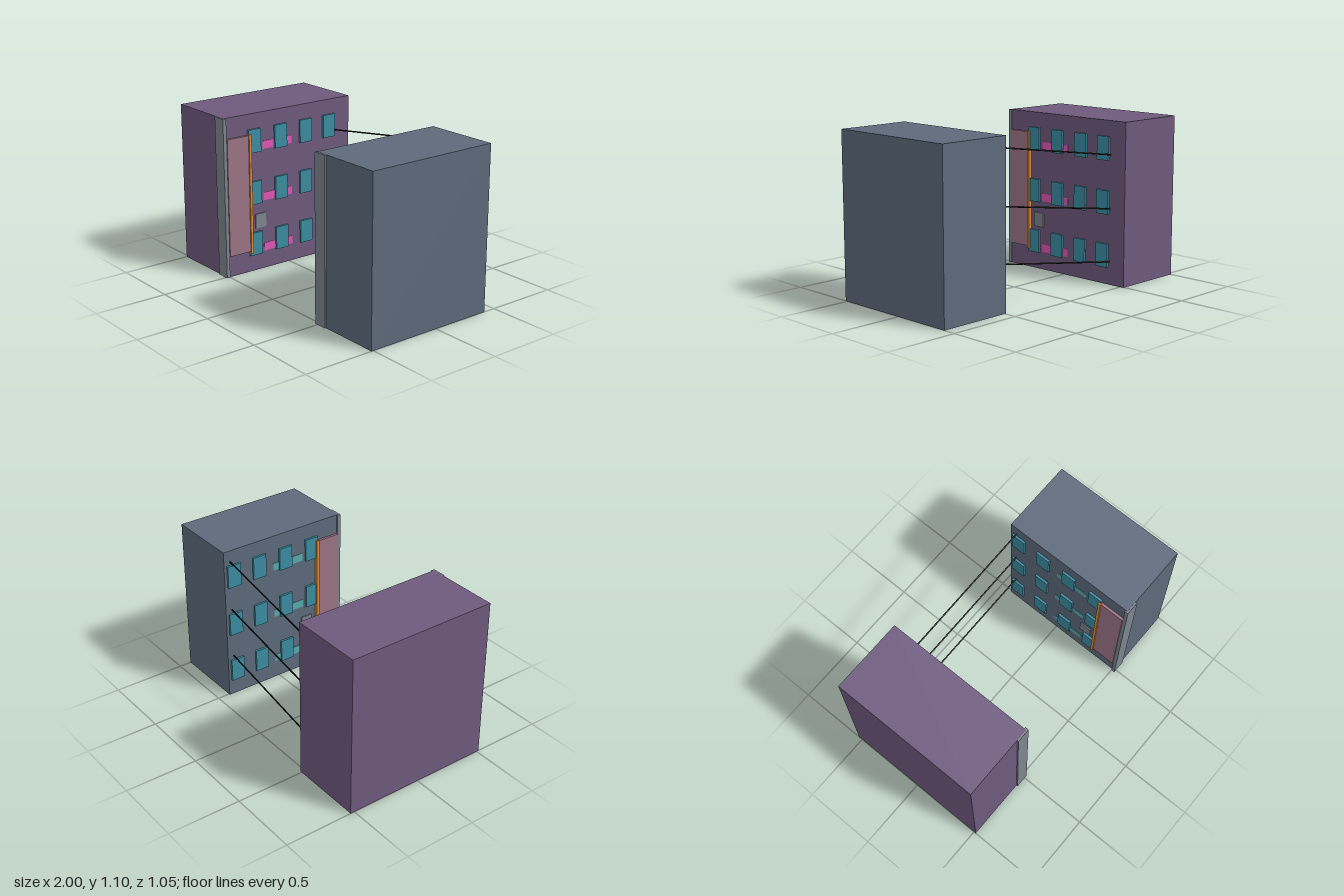
import * as THREE from 'three';

const mat = (color) => new THREE.MeshStandardMaterial({ color, flatShading: true });
const HEIGHT = 1.1, WALL = 0.49, FRONT = 0.515;
const ROWS = [0.195, 0.555, 0.915];
const WINDOW_Z = [-0.345, -0.145, 0.065, 0.28];

const mats = {
  window: mat(0x3a8ca0), panel: mat(0x9c7484), trim: mat(0xdf8a35),
  concrete: mat(0x7d858e), cable: mat(0x111116),
};

// Box given by its limits on each axis
function box(name, material, [x0, x1], [y0, y1], [z0, z1]) {
  const mesh = new THREE.Mesh(
    new THREE.BoxGeometry(Math.abs(x1 - x0), y1 - y0, z1 - z0), material);
  mesh.position.set((x0 + x1) / 2, (y0 + y1) / 2, (z0 + z1) / 2);
  mesh.name = name;
  return mesh;
}

// One building; side is -1 or +1, its detailed wall faces the alley
function building(name, side, backZ, wallColor, stripColor) {
  const g = new THREE.Group();
  g.name = name;
  const strip = mat(stripColor);
  // Part standing off the alley wall by the given depth
  const onWall = (part, material, depth, ys, zs) =>
    g.add(box(part, material, [side * (WALL + 0.01), side * (WALL - depth)], ys, zs));

  g.add(box('block', mat(wallColor), [side * WALL, side], [0, HEIGHT], [backZ, FRONT]));

  // Pilaster wrapping the front corner
  g.add(box('cornerPilaster', mats.concrete,
    [side * 0.48, side * 0.575], [0.001, HEIGHT - 0.001], [0.5, 0.525]));

  // Windows and the light strip on every floor
  for (const y of ROWS) {
    for (const z of WINDOW_Z)
      onWall('window', mats.window, 0.015, [y - 0.08, y + 0.08], [z - 0.05, z + 0.05]);
    onWall('lightStrip', strip, 0.003, [y - 0.07, y - 0.015], [-0.03, 0.21]);
  }

  // Tall panel with its trim, and a small vent
  onWall('wallPanel', mats.panel, 0.017, [0.15, 0.96], [0.33, 0.5]);
  onWall('panelTrim', mats.trim, 0.026, [0.135, 0.967], [0.314, 0.333]);
  onWall('vent', mats.concrete, 0.008, [0.3, 0.4], [0.195, 0.28]);
  return g;
}

// Cable stretched between two points
function cable(a, b) {
  const mesh = new THREE.Mesh(
    new THREE.CylinderGeometry(0.005, 0.005, a.distanceTo(b), 8), mats.cable);
  mesh.position.copy(a).add(b).multiplyScalar(0.5);
  mesh.quaternion.setFromUnitVectors(
    new THREE.Vector3(0, 1, 0), b.clone().sub(a).normalize());
  mesh.name = 'cable';
  return mesh;
}

export function createModel() {
  const model = new THREE.Group();
  model.name = 'alley';
  model.add(building('purpleBuilding', -1, -0.528, 0x6e5a7d, 0xe055b5));
  model.add(building('slateBuilding', 1, -0.415, 0x5d6a7b, 0x55aab0));

  // Cables across the alley, one per floor
  for (const y of ROWS)
    model.add(cable(new THREE.Vector3(-0.492, y - 0.04, -0.403),
      new THREE.Vector3(0.492, y + 0.106, -0.368)));
  return model;
}
